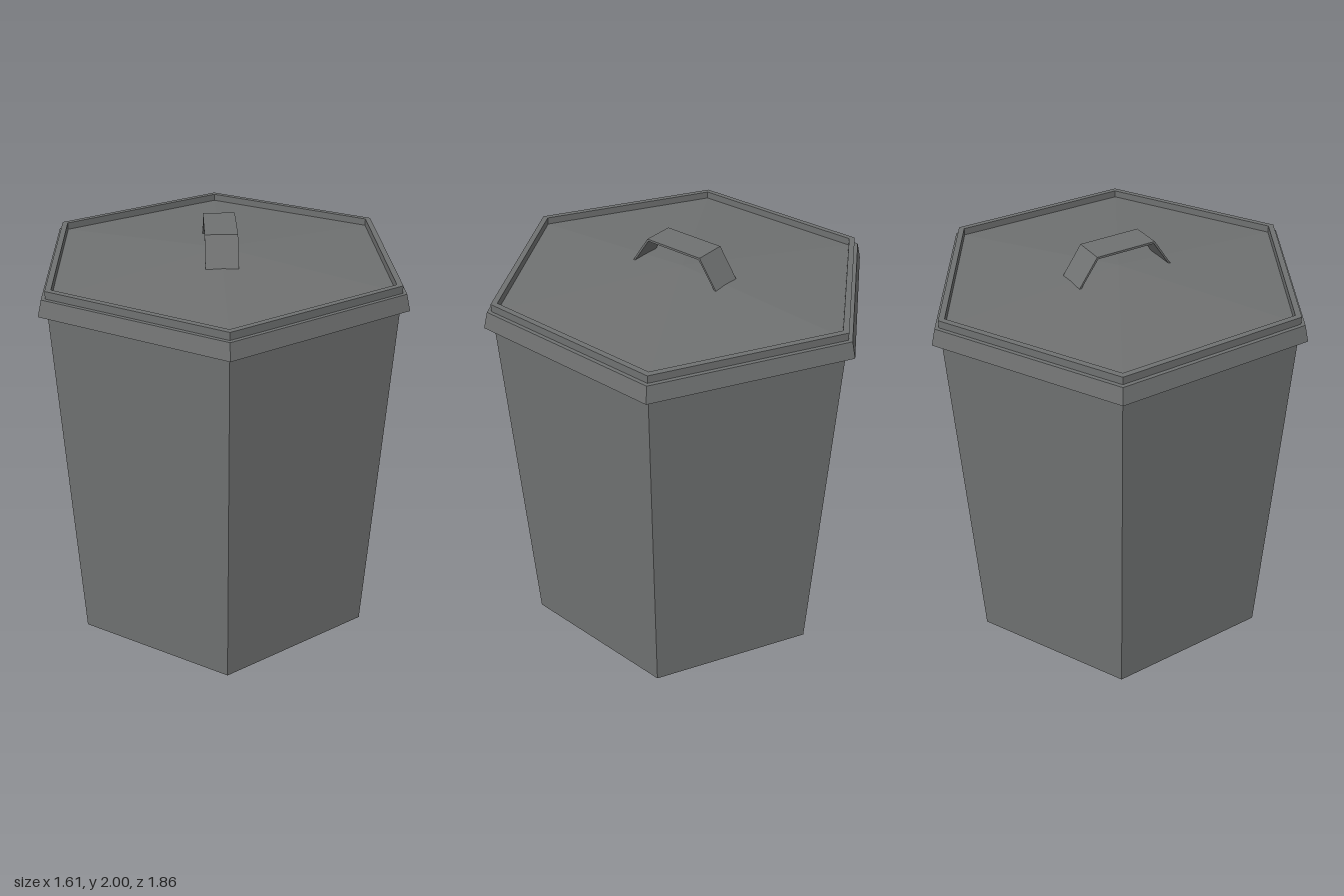
import * as THREE from 'three';

const SIDES = 6;

// Flat facets: split the vertices so every face has its own normal
function faceted(geometry) {
  const g = geometry.index ? geometry.toNonIndexed() : geometry;
  g.computeVertexNormals();
  return g;
}

export function createModel() {
  const group = new THREE.Group();
  const grey = new THREE.MeshStandardMaterial({ color: 0x6f7171, flatShading: true });
  grey.name = 'dull grey metal';

  const add = (name, geometry) => {
    const mesh = new THREE.Mesh(faceted(geometry), grey);
    mesh.name = name;
    group.add(mesh);
    return mesh;
  };

  // Tapered six-sided body, with corners toward front and back
  const height = 1.76;
  add('body', new THREE.CylinderGeometry(0.885, 0.81, height, SIDES)).position.y = height / 2;

  // Lid: flared skirt, small step, raised lip and a shallow pointed centre
  const lidProfile = [
    [0.88, 1.755], [0.93, 1.755], [0.91, 1.83], [0.89, 1.83],
    [0.89, 1.865], [0.86, 1.865], [0.86, 1.832], [0, 1.886],
  ].map(([r, y]) => new THREE.Vector2(r, y));
  add('lid', new THREE.LatheGeometry(lidProfile, SIDES));

  // Handle: thin bent strap running front to back
  const strap = new THREE.Shape([
    [-0.235, 1.865], [-0.145, 2.0], [0.155, 2.0], [0.25, 1.865],
    [0.24, 1.865], [0.15, 1.99], [-0.14, 1.99], [-0.225, 1.865],
  ].map(([u, y]) => new THREE.Vector2(u, y)));
  const handle = new THREE.ExtrudeGeometry(strap, { depth: 0.15, bevelEnabled: false });
  handle.translate(0, 0, -0.075);
  handle.rotateY(Math.PI / 2);
  add('handle', handle).position.x = -0.003;

  return group;
}
